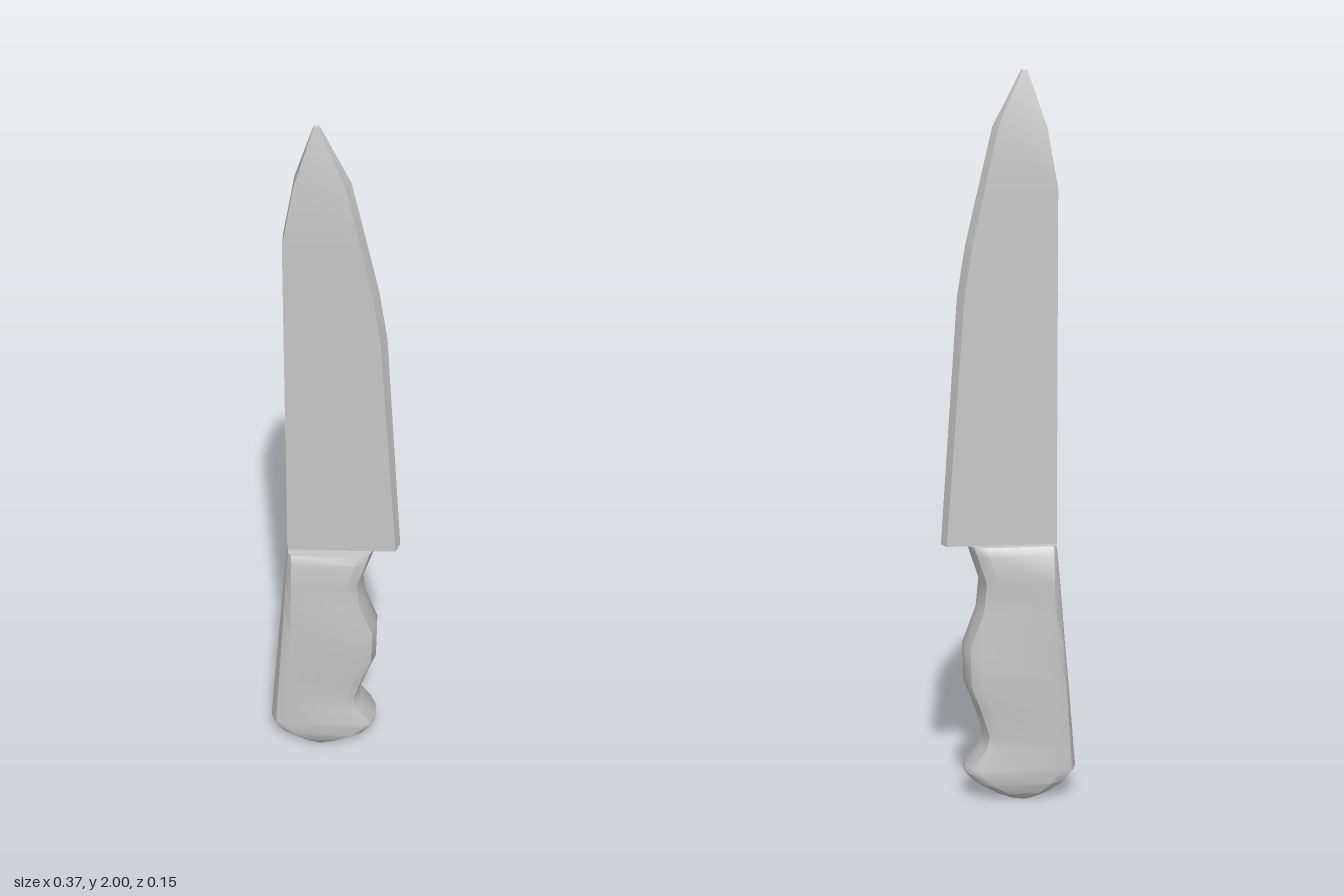
import * as THREE from 'three';
import { toCreasedNormals } from 'three/addons/utils/BufferGeometryUtils.js';

// Skins a stack of horizontal rings of [x, z] points, bottom to top, with end caps.
function loft(levels, section, crease) {
  const positions = [], indices = [];
  const n = section(levels[0]).length;
  for (const level of levels) {
    for (const [x, z] of section(level)) positions.push(x, level[0], z);
  }
  for (let i = 0; i < levels.length - 1; i++) {
    for (let j = 0; j < n; j++) {
      const a = i * n + j, b = i * n + (j + 1) % n;
      indices.push(a, a + n, b + n, a, b + n, b);
    }
  }
  const top = (levels.length - 1) * n;
  for (let j = 1; j < n - 1; j++) {
    indices.push(0, j, j + 1);
    indices.push(top, top + j + 1, top + j);
  }
  const geometry = new THREE.BufferGeometry();
  geometry.setAttribute('position', new THREE.Float32BufferAttribute(positions, 3));
  geometry.setIndex(indices);
  return toCreasedNormals(geometry, crease);
}

// Flat spine and sides, with a shallow bevel meeting at the cutting edge.
const bladeSection = ([, back, shoulder, edge, h]) => [
  [edge, 0], [shoulder, h], [back, h], [back, -h], [shoulder, -h],
];

// Flat sides with rounded front and back; c is the depth of the back rounding.
const handleSection = ([, back, front, h, c]) => {
  const half = [
    [front, 0.025 * h / 0.076], [front - 0.014, h * 0.78], [front - 0.045, h],
    [back + c, h], [back + c * 0.28, h * 0.77], [back, h * 0.27],
  ];
  return [...half, ...half.map(([x, z]) => [x, -z]).reverse()];
};

export function createModel() {
  const group = new THREE.Group();
  const grey = new THREE.MeshStandardMaterial({ color: 0xc6c6c6 });
  grey.name = 'grey';

  // y, spine x, bevel start x, cutting edge x, half thickness
  const blade = new THREE.Mesh(loft([
    [0.722, -0.13, 0.173, 0.186, 0.034],
    [1.40, -0.13, 0.122, 0.139, 0.034],
    [1.54, -0.13, 0.100, 0.116, 0.034],
    [1.69, -0.13, 0.066, 0.081, 0.034],
    [1.85, -0.10, 0.030, 0.043, 0.034],
    [2.00, -0.05, -0.038, -0.034, 0.006],
  ], bladeSection, 0.3), grey);
  blade.name = 'blade';

  // y, back x, front x, half thickness, back rounding
  const handle = new THREE.Mesh(loft([
    [0.004, -0.075, 0.01, 0.058, 0.03],
    [0.022, -0.118, 0.05, 0.068, 0.04],
    [0.05, -0.160, 0.098, 0.076, 0.05],
    [0.08, -0.187, 0.125, 0.076, 0.055],
    [0.095, -0.186, 0.123, 0.076, 0.055],
    [0.15, -0.181, 0.080, 0.076, 0.05],
    [0.19, -0.178, 0.073, 0.076, 0.048],
    [0.26, -0.172, 0.096, 0.076, 0.044],
    [0.33, -0.166, 0.123, 0.076, 0.04],
    [0.44, -0.156, 0.125, 0.076, 0.033],
    [0.54, -0.148, 0.088, 0.076, 0.027],
    [0.62, -0.141, 0.080, 0.076, 0.022],
    [0.70, -0.133, 0.106, 0.076, 0.016],
    [0.722, -0.130, 0.114, 0.064, 0.012],
  ], handleSection, 0.65), grey);
  handle.name = 'handle';

  group.add(blade, handle);
  return group;
}
